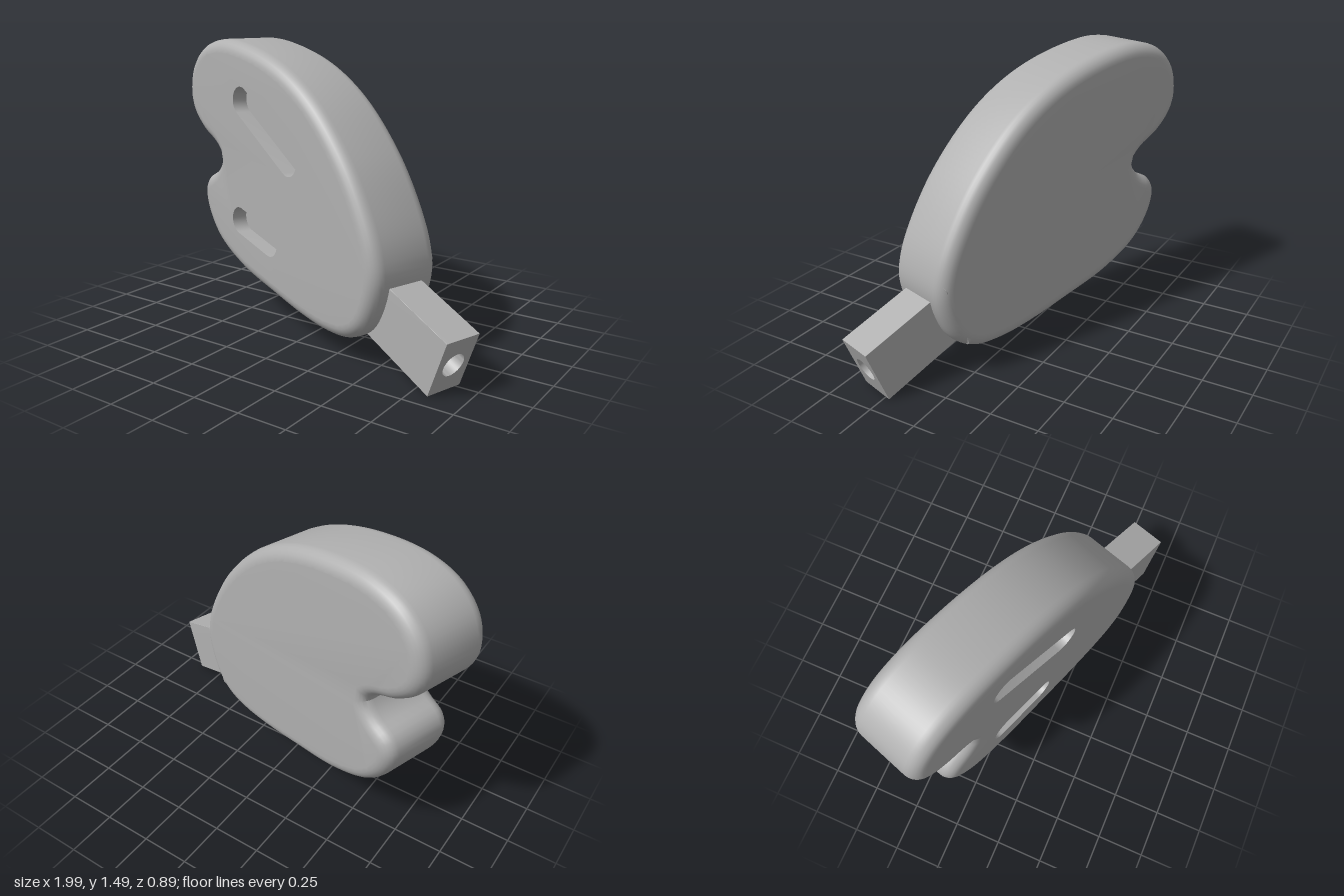
import * as THREE from 'three';
import { mergeGeometries, toCreasedNormals } from 'three/addons/utils/BufferGeometryUtils.js';

const FRONT = 0.235, BACK = -0.165, FILLET = 0.07;

// Walls joining copies of a closed outline; each ring is { pts, z }
function loft(rings) {
  const n = rings[0].pts.length, pos = [], index = [];
  for (const { pts, z } of rings) for (const p of pts) pos.push(p.x, p.y, z);
  for (let k = 0; k < rings.length - 1; k++) {
    for (let i = 0; i < n; i++) {
      const j = (i + 1) % n, a = k * n, b = a + n;
      index.push(a + i, a + j, b + j, a + i, b + j, b + i);
    }
  }
  const g = new THREE.BufferGeometry();
  g.setAttribute('position', new THREE.Float32BufferAttribute(pos, 3));
  g.setIndex(index);
  g.computeVertexNormals();
  return g;
}

// Flat cap at depth z, optionally pierced or facing backwards
function cap(pts, z, holes = [], flip = false) {
  const shape = new THREE.Shape(pts);
  holes.forEach((h) => shape.holes.push(new THREE.Path(h)));
  const g = new THREE.ShapeGeometry(shape);
  g.deleteAttribute('uv');
  g.translate(0, 0, z);
  if (flip) g.setIndex(Array.from(g.index.array).reverse());
  g.computeVertexNormals();
  return g;
}

// Counter-clockwise stadium outline between two centres
function stadium(ax, ay, bx, by, r) {
  const dir = Math.atan2(by - ay, bx - ax), pts = [];
  for (const [x, y, start] of [[bx, by, dir - Math.PI / 2], [ax, ay, dir + Math.PI / 2]]) {
    for (let i = 0; i <= 14; i++) {
      const t = start + (i / 14) * Math.PI;
      pts.push(new THREE.Vector2(x + r * Math.cos(t), y + r * Math.sin(t)));
    }
  }
  return pts;
}

function roundedRect(x0, y0, x1, y1, r) {
  const s = new THREE.Shape();
  s.absarc(x1 - r, y0 + r, r, -Math.PI / 2, 0);
  s.absarc(x1 - r, y1 - r, r, 0, Math.PI / 2);
  s.absarc(x0 + r, y1 - r, r, Math.PI / 2, Math.PI);
  s.absarc(x0 + r, y0 + r, r, Math.PI, Math.PI * 1.5);
  return s;
}

function bodyGeometry() {
  // Lopsided heart outline, counter-clockwise
  const curve = new THREE.CatmullRomCurve3([
    [-0.99, 1.18], [-0.955, 1.07], [-0.85, 0.97], [-0.715, 0.9], [-0.662, 0.84],
    [-0.715, 0.765], [-0.82, 0.705], [-0.852, 0.63], [-0.82, 0.51], [-0.7, 0.365],
    [-0.47, 0.252], [-0.16, 0.178], [0.12, 0.125], [0.3, 0.111], [0.45, 0.13],
    [0.56, 0.2], [0.63, 0.32], [0.664, 0.46], [0.645, 0.59], [0.57, 0.76],
    [0.425, 0.98], [0.19, 1.215], [-0.05, 1.36], [-0.34, 1.453], [-0.65, 1.487],
    [-0.84, 1.44], [-0.955, 1.33],
  ].map(([x, y]) => new THREE.Vector3(x, y, 0)), true);

  const N = 160;
  const inset = (d) => Array.from({ length: N }, (_, i) => {
    const p = curve.getPointAt(i / N), t = curve.getTangentAt(i / N);
    return new THREE.Vector2(p.x - t.y * d, p.y + t.x * d);
  });

  // Quarter-round edges at the back and the front
  const rings = [];
  for (const side of [-1, 1]) {
    for (let i = 0; i <= 6; i++) {
      const a = ((side < 0 ? 6 - i : i) / 6) * Math.PI / 2;
      const base = side < 0 ? BACK + FILLET : FRONT - FILLET;
      rings.push({
        pts: inset(FILLET * (1 - Math.cos(a))),
        z: base + side * FILLET * Math.sin(a),
      });
    }
  }

  // Two blind slots in the front face
  const slots = [
    stadium(-0.42, 1.175, 0.003, 0.917, 0.076),
    stadium(-0.45, 0.525, -0.172, 0.462, 0.073),
  ];
  const face = inset(FILLET), floor = FRONT - 0.085;
  const parts = [loft(rings), cap(face, FRONT, slots), cap(face, BACK, [], true)];
  for (const s of slots) {
    parts.push(loft([{ pts: s, z: FRONT }, { pts: s, z: floor }]), cap(s, floor));
  }
  return toCreasedNormals(mergeGeometries(parts), 0.6);
}

export function createModel() {
  const grey = new THREE.MeshStandardMaterial({ color: 0xb0b0b0 });
  grey.name = 'grey';
  const add = (parent, name, geometry) => {
    const mesh = new THREE.Mesh(geometry, grey);
    mesh.name = name;
    parent.add(mesh);
    return mesh;
  };

  const model = new THREE.Group();
  model.name = 'heartPaddle';
  model.rotation.y = -THREE.MathUtils.degToRad(18);
  add(model, 'body', bodyGeometry());

  // Handle frame: +x runs along the bar, its origin is the bar's end
  const handle = new THREE.Group();
  handle.name = 'handle';
  handle.position.set(0.973, 0.14, 0.037);
  handle.rotation.z = -THREE.MathUtils.degToRad(21.3);
  model.add(handle);

  const along = (shape, from, to) => new THREE.ExtrudeGeometry(shape, {
    depth: to - from, bevelEnabled: false, curveSegments: 24,
  }).rotateY(Math.PI / 2).translate(from, 0, 0);

  // Square bar with a round bore in its end
  const section = roundedRect(-0.1, -0.15, 0.1, 0.15, 0.001);
  section.holes.push(new THREE.Path().absarc(0, 0, 0.062, 0, Math.PI * 2, true));
  add(handle, 'bar', toCreasedNormals(along(section, -0.62, 0), 0.6));
  const bottom = add(handle, 'boreFloor', new THREE.CircleGeometry(0.064, 24));
  bottom.rotation.y = Math.PI / 2;
  bottom.position.x = -0.4;

  // Flat collar where the bar enters the body, set towards the back
  add(handle, 'collar',
    toCreasedNormals(along(roundedRect(-0.13, -0.16, 0.195, 0.25, 0.05), -0.56, -0.45), 0.6));

  // Outer group keeps the turned model in an unrotated frame
  const root = new THREE.Group();
  root.add(model);
  return root;
}
